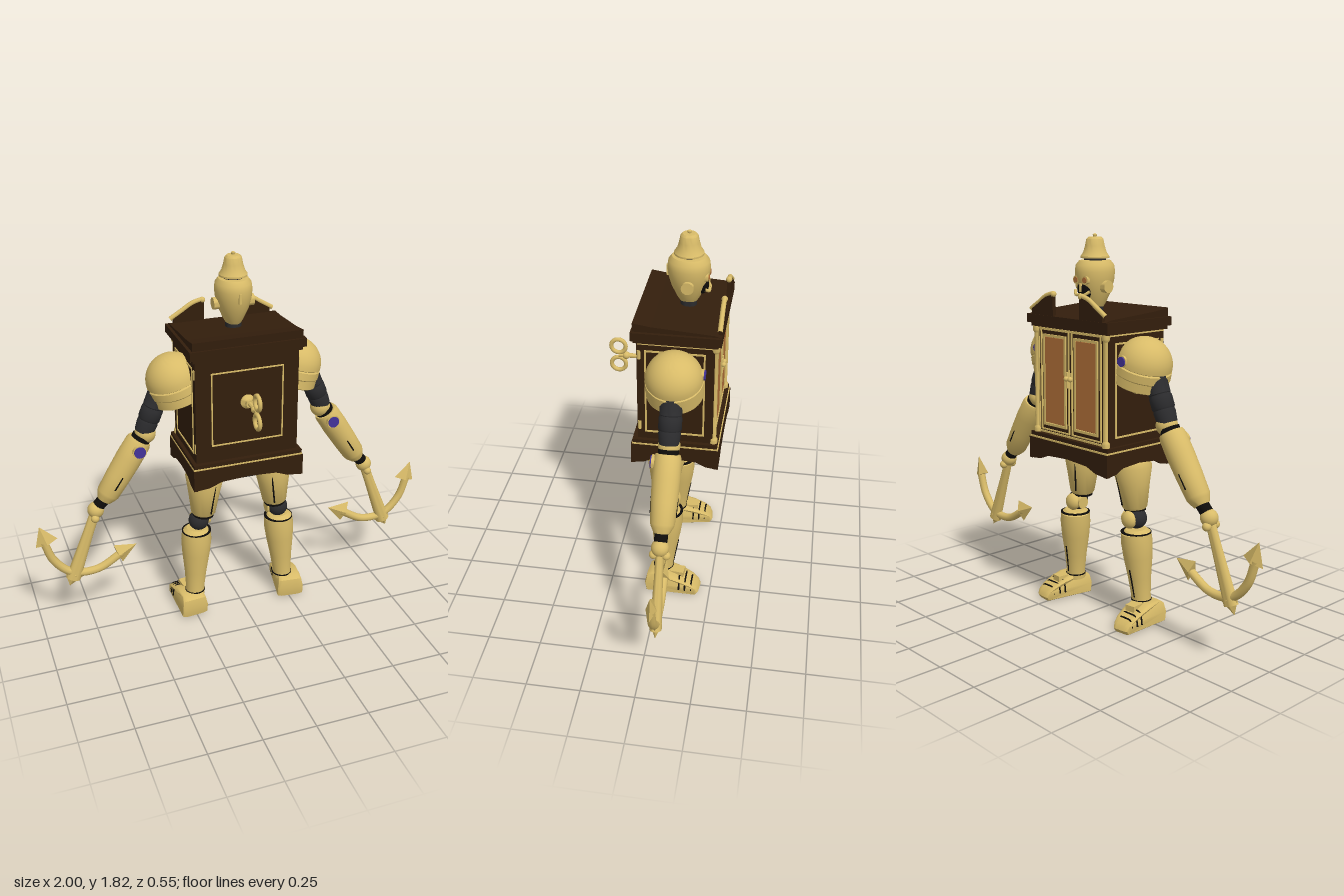
import * as THREE from 'three';
import { toCreasedNormals } from 'three/addons/utils/BufferGeometryUtils.js';

const mat = (name, color) => Object.assign(new THREE.MeshStandardMaterial({ color }), { name });
const V = (x, y, z) => new THREE.Vector3(x, y, z);

export function createModel() {
  const gold = mat('brass', 0xd8bb68), brown = mat('dark wood', 0x331e0c), copper = mat('copper panel', 0xb3713a);
  const dark = mat('rubber', 0x2b2b2d), black = mat('black seam', 0x0e0c0a), purple = mat('violet gem', 0x43339a);
  const root = new THREE.Group();
  root.name = 'clockworkCabinetRobot';
  const CZ = -0.07; // depth of the body's middle

  const add = (name, geo, m, x = 0, y = 0, z = 0) => {
    const mesh = new THREE.Mesh(geo, m);
    mesh.name = name;
    mesh.position.set(x, y, z);
    root.add(mesh);
    return mesh;
  };
  const box = (name, m, x0, x1, y0, y1, z0, z1) =>
    add(name, new THREE.BoxGeometry(x1 - x0, y1 - y0, z1 - z0), m, (x0 + x1) / 2, (y0 + y1) / 2, (z0 + z1) / 2);
  const ball = (name, m, x, y, z, r) => add(name, new THREE.SphereGeometry(r, 20, 14), m, x, y, z);
  const lathe = (pts, seg = 28) =>
    toCreasedNormals(new THREE.LatheGeometry(pts.map(p => new THREE.Vector2(p[0], p[1])), seg), 0.6);
  // Turned part running from a to b; the profile is [radius, fraction of the length]
  const limb = (name, m, a, b, profile, seg = 24) => {
    const d = b.clone().sub(a), len = d.length();
    const mesh = add(name, lathe(profile.map(p => [p[0], p[1] * len]), seg), m, a.x, a.y, a.z);
    mesh.quaternion.setFromUnitVectors(V(0, 1, 0), d.normalize());
    return mesh;
  };
  const rod = (name, m, a, b, r) => limb(name, m, a, b, [[0, 0], [r, 0], [r, 1], [0, 1]]);
  const tube = (name, m, pts, r) =>
    add(name, new THREE.TubeGeometry(new THREE.CatmullRomCurve3(pts), 32, r, 10), m);
  const plate = (name, m, pts, depth) =>
    add(name, new THREE.ExtrudeGeometry(new THREE.Shape(pts.map(p => new THREE.Vector2(p[0], p[1]))),
      { depth, bevelEnabled: false }), m);
  // Rectangular picture frame facing z, or x when turned
  const frame = (name, w, h, t, x, y, z, turn = 0) => {
    const rect = (C, a, b) => new C([[-a, -b], [a, -b], [a, b], [-a, b]].map(p => new THREE.Vector2(p[0], p[1])));
    const s = rect(THREE.Shape, w / 2, h / 2);
    s.holes.push(rect(THREE.Path, w / 2 - t, h / 2 - t));
    const geo = new THREE.ExtrudeGeometry(s, { depth: 0.008, bevelEnabled: false }).translate(0, 0, -0.004);
    add(name, geo, gold, x, y, z).rotation.y = turn;
  };
  // Gem in a brass setting
  const gem = (name, at, dir, r) => {
    rod(name + 'Setting', gold, at, at.clone().addScaledVector(dir, 0.014), r * 1.18);
    rod(name, purple, at, at.clone().addScaledVector(dir, 0.02), r);
  };

  // Cabinet
  box('cabinet', brown, -0.25, 0.25, 0.88, 1.4, -0.24, 0.105);
  box('lowerCornice', brown, -0.262, 0.262, 1.393, 1.41, -0.255, 0.118);
  box('cornice', brown, -0.277, 0.277, 1.41, 1.45, -0.27, 0.128);
  const roof = plate('slopedRoof', brown, [[-0.118, 1.45], [0.265, 1.45], [0.24, 1.458], [-0.04, 1.478], [-0.12, 1.49]], 0.526);
  roof.rotation.y = Math.PI / 2;
  roof.position.x = -0.263;
  box('baseMoulding', brown, -0.268, 0.268, 0.87, 0.888, -0.263, 0.128);
  box('baseTrim', gold, -0.27, 0.27, 0.862, 0.87, -0.268, 0.13);
  box('base', brown, -0.272, 0.272, 0.8, 0.862, -0.27, 0.135);
  // Arched aprons around the base
  const apron = w => [[-w, 0.81], [-w, 0.758], [-w * 0.72, 0.765], [-w * 0.5, 0.788], [0, 0.796],
    [w * 0.5, 0.788], [w * 0.72, 0.765], [w, 0.758], [w, 0.81]];
  for (const z of [0.115, -0.27]) plate('apron', brown, apron(0.272), 0.02).position.z = z;
  for (const x of [-0.272, 0.252]) {
    const side = plate('sideApron', brown, apron(0.2025), 0.02);
    side.rotation.y = Math.PI / 2;
    side.position.set(x, 0, -0.0675);
  }
  box('pelvisBar', dark, -0.11, 0.11, 0.778, 0.802, 0.09, 0.11);

  // Key panel and wind-up key
  frame('keyPanelFrame', 0.35, 0.364, 0.006, 0, 1.148, 0.106);
  limb('keyFlange', gold, V(0, 1.17, 0.1), V(0, 1.17, 0.14), [[0, 0], [0.034, 0], [0.034, 0.3], [0.018, 0.6], [0.018, 1], [0, 1]]);
  rod('keyShaft', gold, V(0, 1.17, 0.12), V(0, 1.17, 0.235), 0.011);
  ball('keyBoss', gold, 0, 1.17, 0.2, 0.018);
  for (const s of [-1, 1]) {
    const ring = add('keyRing', new THREE.TorusGeometry(0.034, 0.01, 10, 28), gold, 0, 1.17 + s * 0.047, 0.236);
    ring.rotation.y = Math.PI / 2;
  }

  // Back door surround
  frame('doorSurround', 0.46, 0.5, 0.009, 0, 1.14, -0.241);

  // Neck, head and bell hat
  const HZ = -0.09;
  rod('neck', dark, V(0, 1.44, HZ), V(0, 1.52, HZ), 0.038);
  add('head', lathe([[0, 1.485], [0.035, 1.487], [0.048, 1.51], [0.07, 1.56], [0.083, 1.61], [0.087, 1.65],
    [0.083, 1.68], [0.068, 1.7], [0, 1.705]]), gold, 0, 0, HZ).scale.z = 1.1;
  rod('hatBand', dark, V(0, 1.7, HZ), V(0, 1.712, HZ), 0.05);
  add('bellHat', lathe([[0, 1.71], [0.066, 1.71], [0.066, 1.718], [0.054, 1.735], [0.045, 1.765], [0.039, 1.795],
    [0.03, 1.804], [0.008, 1.806], [0.01, 1.815], [0, 1.821]]), gold, 0, 0, HZ);
  box('headRidge', gold, -0.006, 0.006, 1.602, 1.65, -0.01, 0.01);
  ball('faceMask', black, 0, 1.572, -0.148, 0.042).scale.set(1, 1.15, 0.8);
  limb('nose', gold, V(0, 1.56, -0.17), V(0, 1.6, -0.178), [[0, 0], [0.013, 0.1], [0.007, 1], [0, 1]]);

  for (const s of [-1, 1]) {
    const P = (x, y, z = CZ) => V(s * x, y, z);
    const side = V(s, 0, 0);
    // Face and ears
    rod('ear', gold, P(0.065, 1.585, -0.095), P(0.098, 1.585, -0.095), 0.028);
    rod('eyeRim', gold, P(0.03, 1.615, -0.15), P(0.03, 1.615, -0.18), 0.019);
    rod('eye', copper, P(0.03, 1.615, -0.17), P(0.03, 1.615, -0.184), 0.013);
    tube('moustache', gold, [P(0, 1.55, -0.183), P(0.025, 1.548, -0.183), P(0.05, 1.565, -0.165)], 0.007);

    // Broken pediment
    plate('pediment', brown, [[s * 0.24, 1.45], [s * 0.09, 1.45], [s * 0.09, 1.55], [s * 0.14, 1.54], [s * 0.2, 1.505], [s * 0.24, 1.48]], 0.018)
      .position.z = -0.268;
    tube('pedimentTrim', gold, [P(0.255, 1.474, -0.259), P(0.2, 1.507, -0.259), P(0.145, 1.54, -0.259), P(0.095, 1.554, -0.259)], 0.011);
    ball('pedimentScroll', gold, s * 0.095, 1.55, -0.259, 0.014);

    // Doors, columns, side panels and hinges
    const dx = s * 0.108;
    box('doorPanel', copper, dx - 0.07, dx + 0.07, 0.943, 1.347, -0.246, -0.238);
    frame('doorFrame', 0.16, 0.432, 0.012, dx, 1.145, -0.245);
    frame('doorEdge', 0.2, 0.48, 0.006, dx, 1.145, -0.243);
    ball('doorKnob', gold, s * 0.014, 1.17, -0.257, 0.012);
    rod('doorHandle', gold, P(0.014, 1.125, -0.25), P(0.014, 1.2, -0.25), 0.006);
    limb('cornerColumn', gold, P(0.238, 0.888, -0.243), P(0.238, 1.392, -0.243),
      [[0, 0], [0.018, 0], [0.018, 0.04], [0.012, 0.06], [0.012, 0.94], [0.018, 0.96], [0.018, 1], [0, 1]], 16);
    frame('sidePanelFrame', 0.27, 0.43, 0.008, s * 0.25, 1.14, -0.065, Math.PI / 2);
    box('sideTrim', gold, s * 0.254 - 0.003, s * 0.254 + 0.003, 1.385, 1.393, -0.235, 0.1);
    for (const y of [0.96, 1.33]) rod('hinge', gold, P(0.246, y - 0.022, 0.095), P(0.246, y + 0.022, 0.095), 0.009);
    gem('cabinetGem', P(0.25, 1.14), side, 0.022);

    // Domed shoulder
    const axis = V(s * 0.3, 0.954, 0), c = P(0.3, 1.25);
    const dome = [[0, -0.09], [0.122, -0.09], [0.129, -0.085], [0.127, -0.045], [0.131, -0.04], [0.129, -0.005], [0.122, 0]];
    for (let i = 0; i <= 10; i++) {
      const a = i / 10 * Math.PI / 2;
      dome.push([0.128 * Math.cos(a), 0.004 + 0.126 * Math.sin(a)]);
    }
    add('shoulder', lathe(dome, 36), gold, c.x, c.y, c.z).quaternion.setFromUnitVectors(V(0, 1, 0), axis);
    gem('shoulderGem', P(0.292, 1.278, -0.186), V(0, 0, -1), 0.022);

    // Arm, emerging through the outside of the shoulder
    ball('upperArmCap', dark, s * 0.372, 1.2, CZ, 0.05);
    limb('upperArm', dark, P(0.372, 1.2), P(0.45, 1.01),
      [[0, 0], [0.05, 0], [0.05, 0.35], [0.047, 0.37], [0.052, 0.42], [0.052, 0.66], [0.047, 0.7], [0.05, 0.76], [0.045, 1], [0, 1]]);
    ball('elbow', gold, s * 0.445, 1.0, CZ, 0.05);
    rod('elbowJoint', black, P(0.46, 0.99), P(0.485, 0.945), 0.046);
    limb('forearm', gold, P(0.472, 0.972), P(0.66, 0.682),
      [[0, 0], [0.055, 0], [0.061, 0.05], [0.063, 0.3], [0.06, 0.6], [0.055, 0.88], [0.05, 0.92], [0.036, 1], [0, 1]]);
    for (const z of [CZ - 0.058, CZ + 0.058])
      rod('forearmSeam', black, P(0.575, 0.814, z), P(0.615, 0.752, z + (z > CZ ? -0.002 : 0.002)), 0.004);
    gem('elbowGem', P(0.49, 0.937, -0.015), V(0, 0, 1), 0.028);
    rod('wristJoint', black, P(0.655, 0.69), P(0.69, 0.655), 0.03);
    ball('wrist', gold, s * 0.703, 0.635, CZ, 0.04);
    for (const z of [-0.028, 0, 0.028]) ball('knuckle', gold, s * 0.714, 0.603, CZ + z, 0.02);

    // Anchor hand
    limb('anchorShank', gold, P(0.71, 0.615), P(0.838, 0.275), [[0, 0], [0.024, 0], [0.026, 0.3], [0.036, 1], [0, 1]]).scale.z = 0.75;
    limb('anchorCrown', gold, P(0.815, 0.33), P(0.858, 0.235), [[0, 0], [0.052, 0.3], [0, 1]], 4).scale.z = 0.55;
    tube('anchorArms', gold, [P(0.962, 0.51), P(0.922, 0.395), P(0.838, 0.312), P(0.715, 0.303), P(0.59, 0.37)], 0.02);
    const fluke = [[0, 0], [0.055, 0.05], [0, 1]];
    limb('outerFluke', gold, P(0.947, 0.495), P(0.977, 0.594), fluke, 4).scale.z = 0.45;
    limb('innerFluke', gold, P(0.613, 0.365), P(0.515, 0.404), fluke, 4).scale.z = 0.45;

    // Leg
    limb('thigh', gold, P(0.187, 0.55, -0.01), P(0.172, 0.79, -0.018),
      [[0, 0], [0.053, 0], [0.06, 0.04], [0.078, 0.5], [0.094, 0.85], [0.087, 0.95], [0, 1]]);
    for (const z of [-1, 1])
      rod('thighSeam', black, P(0.165, 0.57, -0.012 + z * 0.06), P(0.145, 0.725, -0.016 + z * 0.078), 0.004);
    rod('thighCuff', black, P(0.188, 0.54, -0.01), P(0.187, 0.551, -0.01), 0.052);
    ball('knee', dark, s * 0.208, 0.507, -0.02, 0.05);
    ball('kneeCap', gold, s * 0.2, 0.505, -0.062, 0.042).scale.z = 0.7;
    rod('kneeDisc', gold, P(0.15, 0.505, -0.035), P(0.17, 0.505, -0.035), 0.03);
    limb('shin', gold, P(0.238, 0.09, -0.012), P(0.216, 0.46, -0.032),
      [[0, 0], [0.048, 0], [0.047, 0.12], [0.055, 0.35], [0.069, 0.63], [0.075, 0.82], [0.072, 0.95], [0.05, 1], [0, 1]]);
    rod('shinCuff', black, P(0.217, 0.443, -0.031), P(0.217, 0.449, -0.031), 0.0725);
    rod('shinSeam', black, P(0.238, 0.13, -0.059), P(0.228, 0.27, -0.083), 0.004);
    rod('ankle', black, P(0.237, 0.109, -0.013), P(0.237, 0.115, -0.013), 0.05);

    // Foot: a side outline across the sole, narrowed at toe and instep
    const footShape = new THREE.Shape([[-0.054, 0.006], [-0.061, 0.05], [-0.053, 0.09], [-0.03, 0.106], [0.05, 0.104], [0.1, 0.085],
      [0.155, 0.062], [0.185, 0.042], [0.194, 0.02], [0.185, 0.006]].map(p => new THREE.Vector2(p[0], p[1])));
    const foot = new THREE.ExtrudeGeometry(footShape, { depth: 0.07, bevelThickness: 0.032, bevelSize: 0.006, bevelSegments: 4 });
    foot.translate(0, 0, -0.035).rotateY(Math.PI / 2);
    const p = foot.attributes.position;
    for (let i = 0; i < p.count; i++) {
      const toe = Math.max(0, -0.12 - p.getZ(i)), rise = Math.max(0, p.getY(i) - 0.05);
      p.setX(i, p.getX(i) * (1 - 5 * toe) * (1 - 3 * rise));
    }
    foot.computeVertexNormals();
    const turn = s * -0.1, fx = s * 0.264;
    add('foot', toCreasedNormals(foot, 0.7), gold, fx, 0, 0).rotation.y = turn;
    box('tongue', gold, fx - 0.026, fx + 0.026, 0.06, 0.112, -0.12, -0.05).rotation.y = turn;
    for (const [z, y, w] of [[-0.1, 0.091, 0.056], [-0.13, 0.079, 0.054], [-0.16, 0.067, 0.046]])
      tube('footStrap', black, [[-w, 0.03], [-w * 0.75, y - 0.005], [0, y], [w * 0.75, y - 0.005], [w, 0.03]]
        .map(q => V(fx + q[0] + s * 0.1 * -z, q[1], z)), 0.004);
  }
  return root;
}
